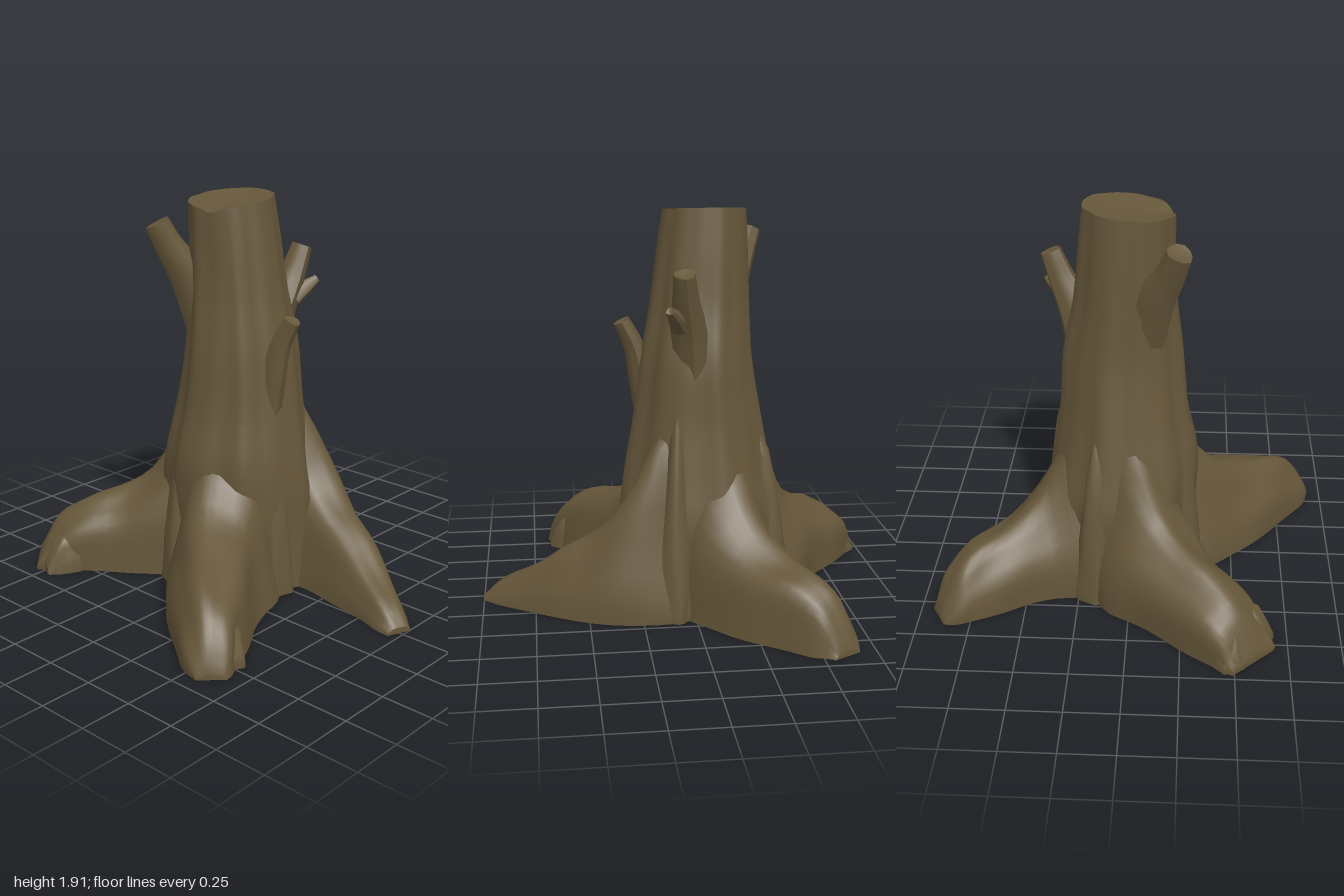
import * as THREE from 'three';
import { toCreasedNormals } from 'three/addons/utils/BufferGeometryUtils.js';

const V = (x, y, z) => new THREE.Vector3(x, y, z);

// Skin a list of equal-length closed rings and cap both ends
function loft(rings, topDip = 0, crease = 0.75) {
  const n = rings[0].length, pos = [], idx = [];
  rings.forEach(r => r.forEach(p => pos.push(p.x, p.y, p.z)));
  for (let i = 0; i < rings.length - 1; i++) {
    for (let j = 0; j < n; j++) {
      const a = i * n + j, b = i * n + (j + 1) % n;
      idx.push(a, b, a + n, b, b + n, a + n);
    }
  }
  [0, rings.length - 1].forEach((k, end) => {
    const c = V(0, 0, 0);
    rings[k].forEach(p => c.addScaledVector(p, 1 / n));
    if (end) c.y -= topDip;
    const ci = pos.length / 3;
    pos.push(c.x, c.y, c.z);
    for (let j = 0; j < n; j++) {
      const a = k * n + j, b = k * n + (j + 1) % n;
      if (end) idx.push(ci, a, b); else idx.push(ci, b, a);
    }
  });
  const g = new THREE.BufferGeometry();
  g.setAttribute('position', new THREE.Float32BufferAttribute(pos, 3));
  g.setIndex(idx);
  return toCreasedNormals(g, crease);
}

// Trunk: rows of y, xMin, xMax, zMin, zMax, with bark furrows
function trunkGeometry() {
  const rows = [
    [0, -0.45, 0.33, -0.43, 0.31], [0.25, -0.43, 0.32, -0.41, 0.3],
    [0.45, -0.44, 0.32, -0.41, 0.31], [0.65, -0.4, 0.3, -0.38, 0.31],
    [0.9, -0.35, 0.26, -0.345, 0.26], [1.2, -0.3, 0.22, -0.325, 0.23],
    [1.45, -0.29, 0.175, -0.275, 0.2], [1.7, -0.285, 0.14, -0.25, 0.19],
    [1.89, -0.28, 0.11, -0.23, 0.19]];
  const cx = new THREE.CatmullRomCurve3(rows.map(r => V(r[1], r[0], r[2])));
  const cz = new THREE.CatmullRomCurve3(rows.map(r => V(r[3], r[0], r[4])));
  const rings = [], steps = 32, sides = 56;
  for (let i = 0; i <= steps; i++) {
    const a = cx.getPoint(i / steps), b = cz.getPoint(i / steps), ring = [];
    const lift = Math.max(0, (a.y - 1.5) / 0.39);
    const bark = 1 - 0.5 * lift;
    for (let j = 0; j < sides; j++) {
      const t = j / sides * Math.PI * 2;
      const k = 1 + bark * (0.03 * Math.sin(7 * t + 0.7 * a.y) + 0.02 * Math.sin(12 * t - 1.5 * a.y));
      const x = (a.x + a.z) / 2 + (a.z - a.x) / 2 * k * Math.cos(t);
      const z = (b.x + b.z) / 2 - (b.z - b.x) / 2 * k * Math.sin(t);
      // slanted cut with a small chip at the front
      const chip = z > 0.1 ? 0.025 * Math.exp(-(((x + 0.03) / 0.05) ** 2)) : 0;
      ring.push(V(x, a.y - lift * (0.09 * z + chip), z));
    }
    rings.push(ring);
  }
  return loft(rings, 0.03);
}

// Root: flat-bottomed ridge; rows of x, z, height, half width, steepness
function rootGeometry(rows, seed, steps = 20) {
  const path = new THREE.CatmullRomCurve3(rows.map(r => V(r[0], r[2], r[1])));
  const size = new THREE.CatmullRomCurve3(rows.map((r, i) => V(r[3], r[4], i * 0.2)));
  const rings = [], arc = 20;
  for (let i = 0; i <= steps; i++) {
    const t = i / steps, c = path.getPoint(t), s = size.getPoint(t);
    const d = path.getPoint(Math.min(1, t + 0.04)).sub(path.getPoint(Math.max(0, t - 0.04)));
    d.y = 0;
    d.normalize();
    const ring = [];
    for (let j = 0; j <= arc; j++) {
      const f = j / arc * Math.PI;
      const lump = 1 + 0.045 * Math.sin(6 * f + seed + 2 * t) + 0.03 * Math.sin(9 * t * 2 + 3 * f + seed * 2);
      const w = s.x * Math.cos(f) * lump;
      const y = c.y * Math.pow(Math.max(0, Math.sin(f)), s.y) * (1 + (lump - 1) * 0.7);
      ring.push(V(c.x + d.z * w, Math.max(0, y), c.z - d.x * w));
    }
    rings.push(ring);
  }
  return loft(rings);
}

// Broken branch: rows of x, y, z, radius
function branchGeometry(rows) {
  const path = new THREE.CatmullRomCurve3(rows.map(r => V(r[0], r[1], r[2])));
  const size = new THREE.CatmullRomCurve3(rows.map((r, i) => V(r[3], i * 0.2, 0)));
  const rings = [], steps = 8, sides = 10;
  for (let i = 0; i <= steps; i++) {
    const t = i / steps, c = path.getPoint(t), r = size.getPoint(t).x, d = path.getTangent(t);
    const e1 = V(0.3, 0, 1).cross(d).normalize(), e2 = d.clone().cross(e1);
    const ring = [];
    for (let j = 0; j < sides; j++) {
      const a = j / sides * Math.PI * 2, k = r * (1 + 0.08 * Math.sin(3 * a));
      ring.push(c.clone().addScaledVector(e1, k * Math.cos(a)).addScaledVector(e2, k * Math.sin(a)));
    }
    rings.push(ring);
  }
  return loft(rings, 0.015);
}

export function createModel() {
  const group = new THREE.Group();
  const bark = new THREE.MeshStandardMaterial({ color: 0x66573a });
  bark.name = 'bark';
  const add = (name, geometry) => {
    const mesh = new THREE.Mesh(geometry, bark);
    mesh.name = name;
    group.add(mesh);
  };

  add('trunk', trunkGeometry());

  // Four large spreading roots
  const roots = {
    leftRoot: [[0, -0.2, 1.05, 0.2, 1.6], [0.16, -0.25, 0.85, 0.21, 1.7], [0.3, -0.26, 0.6, 0.2, 1.2],
      [0.45, -0.225, 0.41, 0.175, 0.85], [0.6, -0.175, 0.31, 0.15, 0.8], [0.78, -0.095, 0.18, 0.11, 0.8],
      [0.91, -0.03, 0.1, 0.085, 0.8], [0.98, 0, 0.03, 0.06, 0.8]],
    frontRoot: [[0, 0.08, 1.0, 0.25, 1.6], [0.08, 0.22, 0.72, 0.27, 1.5], [0.18, 0.38, 0.47, 0.24, 0.9],
      [0.3, 0.53, 0.385, 0.2, 0.75], [0.43, 0.68, 0.33, 0.165, 0.75], [0.53, 0.79, 0.25, 0.13, 0.75],
      [0.59, 0.85, 0.15, 0.1, 0.8], [0.625, 0.885, 0.03, 0.07, 0.8]],
    rightRoot: [[-0.2, -0.02, 1.05, 0.24, 1.6], [-0.34, 0.06, 0.75, 0.26, 1.5], [-0.45, 0.16, 0.5, 0.23, 0.9],
      [-0.57, 0.27, 0.38, 0.205, 0.75], [-0.69, 0.39, 0.33, 0.185, 0.7], [-0.79, 0.49, 0.26, 0.17, 0.7],
      [-0.84, 0.55, 0.15, 0.16, 0.7], [-0.88, 0.59, 0.04, 0.14, 0.8]],
    backRoot: [[-0.1, -0.15, 1.05, 0.24, 1.6], [-0.18, -0.31, 0.75, 0.26, 1.5], [-0.26, -0.46, 0.46, 0.22, 0.9],
      [-0.36, -0.6, 0.36, 0.185, 0.75], [-0.46, -0.72, 0.32, 0.155, 0.75], [-0.54, -0.81, 0.25, 0.13, 0.75],
      [-0.58, -0.86, 0.16, 0.105, 0.8], [-0.61, -0.91, 0.03, 0.07, 0.8]]
  };
  Object.entries(roots).forEach(([name, rows], i) => add(name, rootGeometry(rows, i * 1.7)));

  // Short toes that split the blunt root ends
  [[-0.8, 0.43, -0.95, 0.5, 0.2], [-0.68, 0.52, -0.74, 0.67, 0.2], [0.52, 0.7, 0.645, 0.75, 0.2],
    [-0.43, -0.72, -0.42, -0.83, 0.24]].forEach(([x, z, u, v, h], i) =>
    add('rootToe', rootGeometry([[x, z, h, 0.08, 0.8], [(x + u) / 2, (z + v) / 2, h * 0.9, 0.075, 0.75],
      [u, v, 0.05, 0.05, 0.8]], i, 6)));

  // Slim bark buttresses between the roots
  [[-0.12, 0.1, -0.2, 0.31, 0.95], [-0.28, -0.12, -0.45, -0.2, 0.8],
    [0.03, -0.2, 0.12, -0.43, 0.95], [0.12, 0, 0.31, 0.06, 0.9]].forEach(([x, z, u, v, h], i) =>
    add('buttress', rootGeometry([[x, z, h * 1.1, 0.1, 1.5], [(x + u) / 2, (z + v) / 2, h, 0.1, 1.5],
      [u, v, h * 0.42, 0.07, 1.1], [u + (u - x) * 0.12, v + (v - z) * 0.12, 0.06, 0.05, 1]], i * 2, 8)));

  // Broken branch stubs
  add('rightBranch', branchGeometry([[-0.17, 1.3, 0.06, 0.1], [-0.23, 1.52, 0.11, 0.095],
    [-0.295, 1.66, 0.175, 0.07], [-0.34, 1.775, 0.215, 0.06]]));
  add('backBranch', branchGeometry([[-0.01, 1.1, -0.21, 0.1], [0.01, 1.33, -0.26, 0.09],
    [0.035, 1.49, -0.335, 0.065], [0.05, 1.63, -0.39, 0.05]]));
  add('backTwig', branchGeometry([[0.06, 1.38, -0.31, 0.045], [0.09, 1.43, -0.37, 0.035],
    [0.12, 1.47, -0.42, 0.02]]));
  add('leftBranch', branchGeometry([[0.18, 0.85, 0.01, 0.06], [0.215, 1.08, 0.005, 0.06],
    [0.25, 1.24, 0, 0.05], [0.31, 1.365, -0.01, 0.04]]));
  return group;
}
